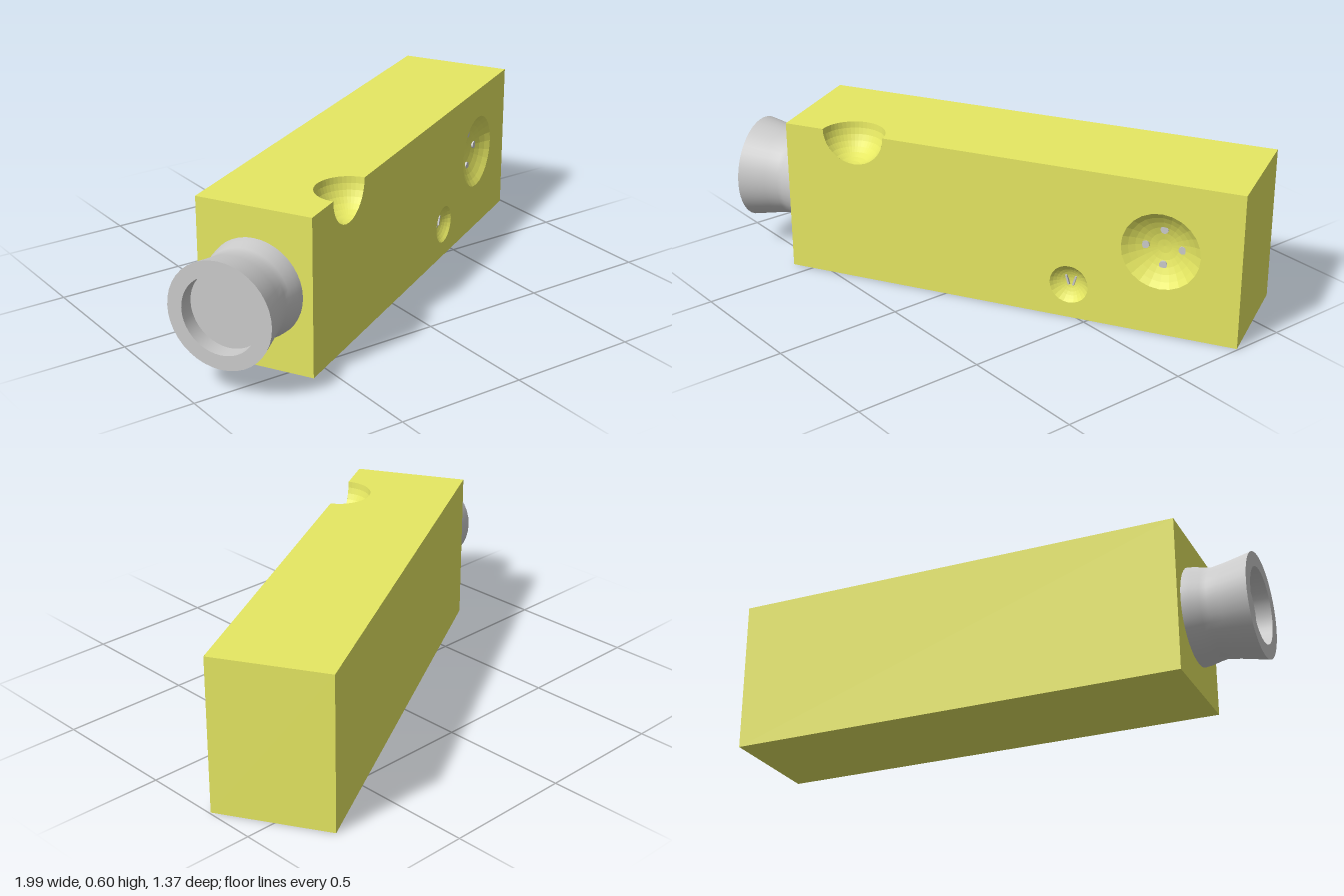
import * as THREE from 'three';

const L = 0.9, H = 0.602, W = 0.225;            // half length, height, half width
const NOTCH = { x: -0.617, r: 0.125 };          // round bite in the top front edge
const DISHES = [
  { name: 'largeDish', x: 0.6, y: 0.332, r: 0.149, depth: 0.055 },
  { name: 'smallDish', x: 0.255, y: 0.135, r: 0.075, depth: 0.034 },
];

const yellow = new THREE.MeshStandardMaterial({ color: 0xe6e862, side: THREE.DoubleSide });
const yellowFaceted = new THREE.MeshStandardMaterial({ color: 0xe6e862, side: THREE.DoubleSide, flatShading: true });
const grey = new THREE.MeshStandardMaterial({ color: 0xcccccc, side: THREE.DoubleSide });

function add(parent, name, geometry, material, x = 0, y = 0, z = 0) {
  const mesh = new THREE.Mesh(geometry, material);
  mesh.name = name;
  mesh.position.set(x, y, z);
  parent.add(mesh);
  return mesh;
}

function createBody() {
  const body = new THREE.Group();
  body.name = 'body';

  // front face with dish openings and half-round notch
  const front = new THREE.Shape();
  front.moveTo(-L, 0);
  front.lineTo(L, 0);
  front.lineTo(L, H);
  front.lineTo(NOTCH.x + NOTCH.r, H);
  front.absarc(NOTCH.x, H, NOTCH.r, 0, -Math.PI, true);
  front.lineTo(-L, H);
  for (const d of DISHES) {
    const hole = new THREE.Path();
    hole.absarc(d.x, d.y, d.r, 0, Math.PI * 2, true);
    front.holes.push(hole);
  }
  add(body, 'frontFace', new THREE.ShapeGeometry(front, 12), yellow, 0, 0, W);

  // top face with the matching notch
  const top = new THREE.Shape();
  top.moveTo(-L, -W);
  top.lineTo(NOTCH.x - NOTCH.r, -W);
  top.absarc(NOTCH.x, -W, NOTCH.r, Math.PI, 0, true);
  top.lineTo(L, -W);
  top.lineTo(L, W);
  top.lineTo(-L, W);
  add(body, 'topFace', new THREE.ShapeGeometry(top, 12).rotateX(-Math.PI / 2), yellow, 0, H, 0);

  // plain faces
  add(body, 'backFace', new THREE.PlaneGeometry(2 * L, H).rotateY(Math.PI), yellow, 0, H / 2, -W);
  add(body, 'bottomFace', new THREE.PlaneGeometry(2 * L, 2 * W).rotateX(Math.PI / 2), yellow);
  for (const s of [-1, 1]) {
    add(body, s < 0 ? 'rightEnd' : 'leftEnd',
      new THREE.PlaneGeometry(2 * W, H).rotateY(s * Math.PI / 2), yellow, s * L, H / 2, 0);
  }

  // quarter-sphere lining of the notch
  add(body, 'notch',
    new THREE.SphereGeometry(NOTCH.r, 24, 8, Math.PI, Math.PI, Math.PI / 2, Math.PI / 2),
    yellowFaceted, NOTCH.x, H, W);

  // round dishes sunk in the front
  for (const d of DISHES) {
    const R = (d.r * d.r + d.depth * d.depth) / (2 * d.depth);
    const cap = new THREE.SphereGeometry(R, 24, 6, 0, Math.PI * 2, 0, Math.asin(d.r / R));
    add(body, d.name, cap.rotateX(-Math.PI / 2), yellowFaceted, d.x, d.y, W + R - d.depth);
  }
  return body;
}

function createPins() {
  const pins = new THREE.Group();
  pins.name = 'pins';
  const [large, small] = DISHES;
  // four round pins in the large dish
  for (let i = 0; i < 4; i++) {
    const a = i * Math.PI / 2;
    add(pins, 'pin', new THREE.CylinderGeometry(0.015, 0.015, 0.02, 16).rotateX(Math.PI / 2), grey,
      large.x + 0.07 * Math.cos(a), large.y + 0.07 * Math.sin(a), W - 0.05);
  }
  // two slanted prongs in the small dish
  for (const s of [-1, 1]) {
    const prong = add(pins, 'prong', new THREE.BoxGeometry(0.007, 0.04, 0.015), grey,
      small.x + s * 0.014, small.y + 0.006, W - 0.031);
    prong.rotation.z = -s * 0.3;
  }
  return pins;
}

// flared barrel with a recessed lens, pointing out of the right end
function createBarrel() {
  const barrel = new THREE.Group();
  barrel.name = 'barrel';
  const profile = (pts) => pts.map(([r, y]) => new THREE.Vector2(r, y));
  const lathe = (pts) => new THREE.LatheGeometry(profile(pts), 40);
  add(barrel, 'barrelWall', lathe([[0.187, 0], [0.183, 0.03], [0.174, 0.065], [0.17, 0.09], [0.178, 0.14], [0.2, 0.246]]), grey);
  add(barrel, 'barrelRim', lathe([[0.2, 0.246], [0.145, 0.246]]), grey);
  add(barrel, 'barrelBore', lathe([[0.145, 0.246], [0.145, 0.186]]), grey);
  add(barrel, 'lens', new THREE.CircleGeometry(0.145, 40).rotateX(-Math.PI / 2), grey, 0, 0.186, 0);
  barrel.rotation.z = Math.PI / 2;
  barrel.position.set(-L, 0.3, 0);
  return barrel;
}

export function createModel() {
  const model = new THREE.Group();
  model.name = 'model';
  model.add(createBody(), createPins(), createBarrel());
  model.rotation.y = 0.513;
  model.position.set(0.1, 0, -0.053);
  const root = new THREE.Group();
  root.add(model);
  return root;
}
